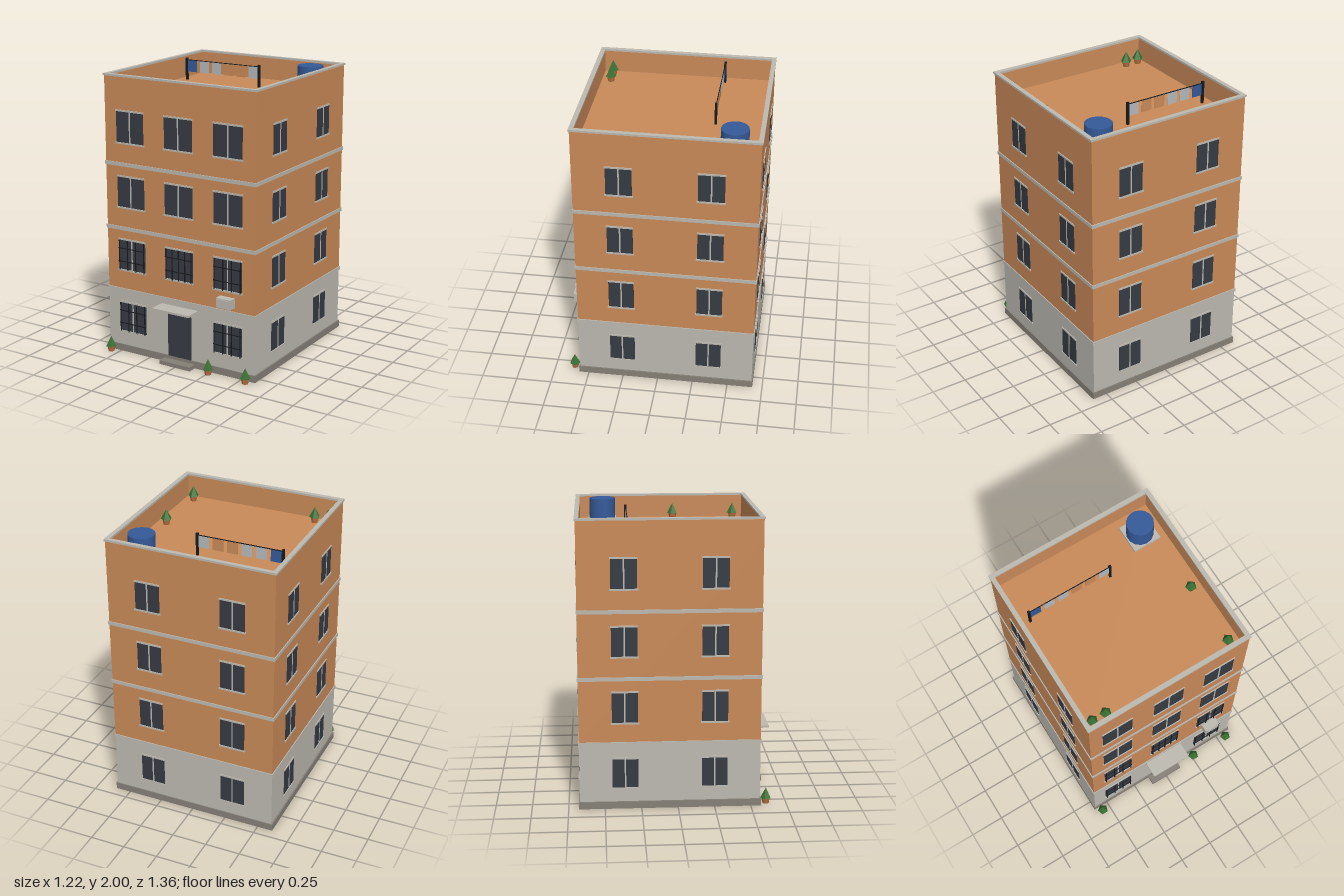
import * as THREE from 'three';

const mat = (name, color, extra = {}) => {
  const m = new THREE.MeshStandardMaterial({ color, ...extra });
  m.name = name;
  return m;
};

export function createModel() {
  const M = {
    orange: mat('orange render', 0xc98a58),
    concrete: mat('pale concrete', 0xbcb9b0),
    plinth: mat('dark stone', 0x857f76),
    glass: mat('dark glass', 0x363b43),
    metal: mat('black metal', 0x17191c),
    blue: mat('blue', 0x345a99),
    green: mat('leaf green', 0x3a7032, { flatShading: true }),
    pot: mat('terracotta', 0xb5703f, { flatShading: true }),
    cloth: mat('pale cloth', 0xb4b9bb),
  };
  const root = new THREE.Group();
  root.name = 'apartmentBlock';

  const mesh = (name, geo, m, x, y, z, parent = root) => {
    const o = new THREE.Mesh(geo, m);
    o.name = name;
    o.position.set(x, y, z);
    parent.add(o);
    return o;
  };
  // Box given by its limits on each axis
  const box = (name, m, x0, x1, y0, y1, z0, z1, parent = root) =>
    mesh(name, new THREE.BoxGeometry(x1 - x0, y1 - y0, z1 - z0), m,
      (x0 + x1) / 2, (y0 + y1) / 2, (z0 + z1) / 2, parent);

  const ZB = -0.673, ZF = 0.563, ROOF = 1.83;

  // Main body, floor bands
  box('plinth', M.plinth, -0.61, 0.61, 0, 0.05, -0.68, 0.57);
  box('groundFloor', M.concrete, -0.6, 0.6, 0.05, 0.46, ZB, ZF);
  box('upperFloors', M.orange, -0.6, 0.6, 0.46, ROOF, ZB, ZF);
  for (const y of [0.45, 0.905, 1.365])
    box('floorBand', M.concrete, -0.606, 0.606, y, y + 0.026, ZB - 0.006, ZF + 0.006);

  // Parapet and its cap: rectangular rings
  const ring = (name, m, x, z0, z1, ix, iz0, iz1, y0, y1) => {
    const rect = (P, a, b, c) => new P([[-a, -c], [a, -c], [a, -b], [-a, -b]]
      .map(p => new THREE.Vector2(...p)));
    const s = rect(THREE.Shape, x, z0, z1);
    s.holes.push(rect(THREE.Path, ix, iz0, iz1));
    const g = new THREE.ExtrudeGeometry(s, { depth: y1 - y0, bevelEnabled: false });
    g.rotateX(-Math.PI / 2);
    mesh(name, g, m, 0, y0, 0);
  };
  ring('parapet', M.orange, 0.6, ZB, ZF, 0.58, -0.652, 0.542, ROOF, 1.986);
  ring('parapetCap', M.concrete, 0.607, -0.68, 0.57, 0.576, -0.649, 0.538, 1.986, 2);

  // Window facing local +z, with lintel, sill, mullion and optional bars
  const addWindow = (parent, x, w, y0, y1, bars = 0, mullion = true) => {
    const g = new THREE.Group();
    g.name = 'window';
    g.position.x = x;
    parent.add(g);
    const h = w / 2;
    box('pane', M.glass, -h, h, y0, y1, -0.002, 0.004, g);
    box('lintel', M.concrete, -h - 0.004, h + 0.004, y1 - 0.002, y1 + 0.01, -0.002, 0.006, g);
    box('sill', M.concrete, -h - 0.008, h + 0.008, y0 - 0.01, y0 + 0.002, -0.002, 0.009, g);
    if (mullion) box('mullion', M.concrete, -0.005, 0.005, y0, y1, 0, 0.006, g);
    if (!bars) return;
    for (let i = 0; i < bars; i++) {
      const bx = -h + 0.008 + (i * (w - 0.016)) / (bars - 1);
      box('bar', M.metal, bx - 0.003, bx + 0.003, y0 - 0.003, y1, 0.008, 0.013, g);
    }
    for (const t of [0.28, 0.72]) {
      const y = y0 + (y1 - y0) * t;
      box('crossBar', M.metal, -h, h, y - 0.003, y + 0.003, 0.008, 0.012, g);
    }
  };
  const facade = (name, x, z, turn) => {
    const g = new THREE.Group();
    g.name = name;
    g.position.set(x, 0, z);
    g.rotation.y = turn;
    root.add(g);
    return g;
  };

  const front = facade('frontWindows', 0, ZF, 0);
  [[0.157, 0.37], [0.617, 0.835], [1.074, 1.29], [1.532, 1.75]].forEach(([a, b], floor) => {
    for (const x of [-0.393, 0, 0.39]) {
      if (floor === 0 && x === 0) continue;
      const barred = floor < 2;
      addWindow(front, x, 0.222, a, b, barred ? (x === 0 ? 5 : 4) : 0, !(barred && x === 0));
    }
  });
  // A side wall's local x runs along -z on the left and +z on the right
  const sides = [
    [facade('leftWindows', 0.6, 0, Math.PI / 2), [-0.25, 0.36]],
    [facade('rightWindows', -0.6, 0, -Math.PI / 2), [0.25, -0.36]],
    [facade('backWindows', 0, ZB, Math.PI), [-0.305, 0.305]],
  ];
  for (const [wall, xs] of sides)
    for (const [a, b] of [[0.15, 0.355], [0.612, 0.823], [1.072, 1.275], [1.532, 1.735]])
      for (const x of xs) addWindow(wall, x, 0.176, a, b);

  // Entrance
  box('door', M.glass, -0.095, 0.095, 0.05, 0.375, ZF - 0.002, ZF + 0.006);
  box('doorLintel', M.concrete, -0.1, 0.1, 0.375, 0.39, ZF - 0.002, ZF + 0.01);
  box('canopy', M.concrete, -0.15, 0.15, 0.41, 0.425, ZF - 0.002, 0.68);
  box('doorStep', M.plinth, -0.125, 0.125, 0, 0.028, 0.56, 0.635);

  // Air conditioner
  box('airConditioner', M.concrete, 0.33, 0.445, 0.505, 0.573, ZF - 0.002, 0.62);
  box('airConditionerGrille', M.concrete, 0.345, 0.43, 0.512, 0.566, 0.62, 0.626);

  // Water tank
  box('tankBase', M.concrete, 0.33, 0.53, ROOF, ROOF + 0.022, -0.588, -0.388);
  mesh('waterTank', new THREE.CylinderGeometry(0.093, 0.093, 0.143, 14), M.blue, 0.43, 1.923, -0.487);

  // Washing line
  const LZ = -0.328;
  for (const x of [-0.51, 0.1])
    box('linePost', M.metal, x - 0.008, x + 0.008, ROOF, 1.99, LZ - 0.008, LZ + 0.008);
  box('washingLine', M.metal, -0.51, 0.1, 1.974, 1.979, LZ - 0.0025, LZ + 0.0025);
  [M.blue, M.cloth, M.cloth, M.orange, M.orange, M.cloth].forEach((m, i) => {
    const x = -0.462 + i * 0.103;
    box('laundry', m, x - 0.038, x + 0.038, 1.89, 1.974, LZ - 0.002, LZ + 0.002);
  });

  // Potted shrubs
  const shrubs = [[-0.56, 0, 0.61], [0.26, 0, 0.61], [0.555, 0, 0.61],
    [-0.525, ROOF, 0.475], [-0.425, ROOF, 0.475], [0.505, ROOF, 0.468], [0.505, ROOF, 0.027]];
  const potGeo = new THREE.CylinderGeometry(0.03, 0.022, 0.042, 8);
  const leafGeo = new THREE.ConeGeometry(0.039, 0.074, 5);
  leafGeo.rotateY(Math.PI);
  for (const [x, y, z] of shrubs) {
    const g = new THREE.Group();
    g.name = 'pottedShrub';
    g.position.set(x, y, z);
    root.add(g);
    mesh('pot', potGeo, M.pot, 0, 0.021, 0, g);
    mesh('foliage', leafGeo, M.green, 0, 0.075, 0, g);
  }
  return root;
}
